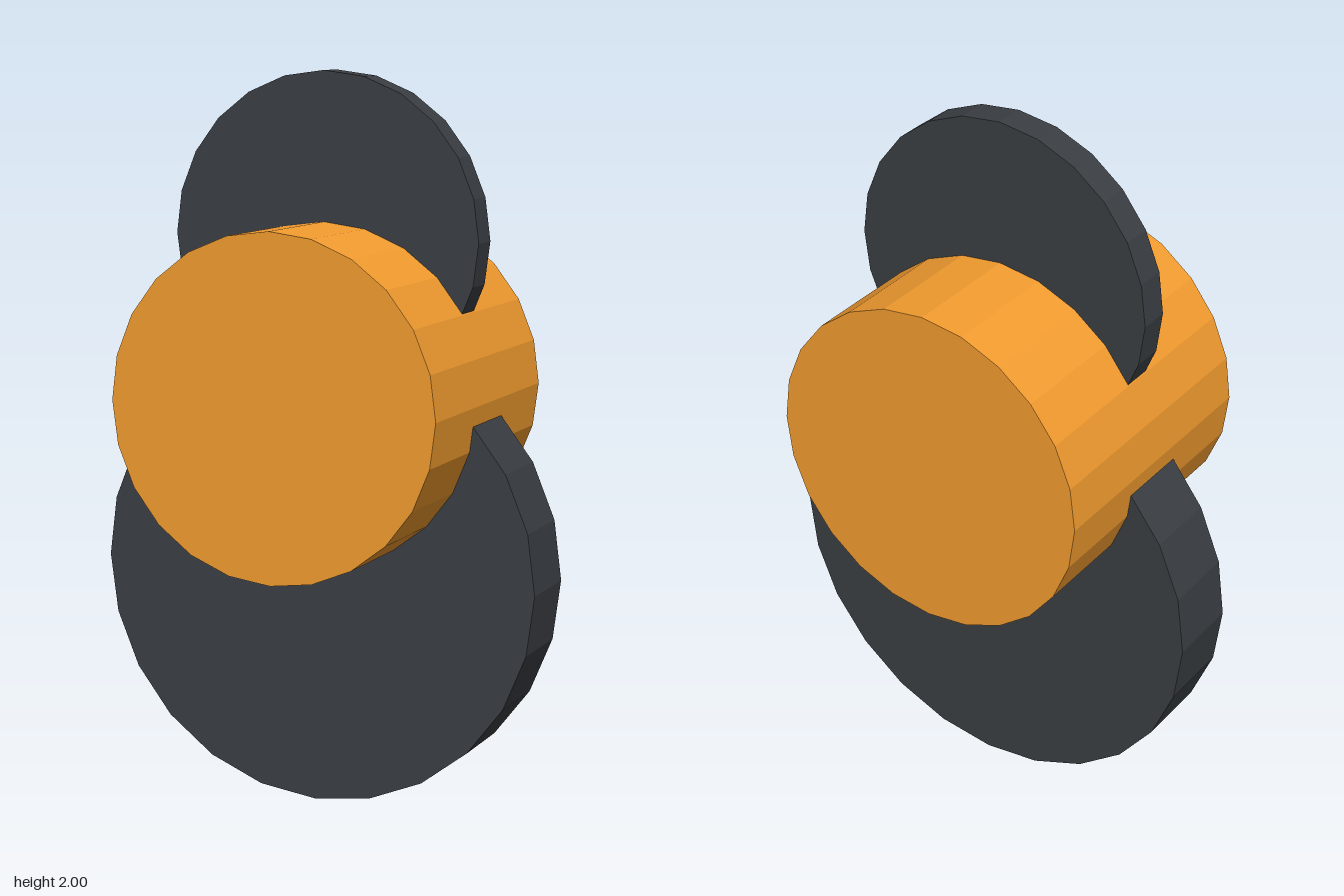
import * as THREE from 'three';

export function createModel() {
  const group = new THREE.Group();
  const orange = new THREE.MeshStandardMaterial({ color: 0xf39c2f, flatShading: true });
  const dark = new THREE.MeshStandardMaterial({ color: 0x3a3e43, flatShading: true });

  // A 24-sided disc whose axis runs front to back
  function addDisc(name, radius, depth, y, material) {
    const geometry = new THREE.CylinderGeometry(radius, radius, depth, 24).rotateX(Math.PI / 2);
    const mesh = new THREE.Mesh(geometry, material);
    mesh.name = name;
    mesh.position.y = y;
    group.add(mesh);
  }

  addDisc('lowerDisc', 0.637, 0.21, 0.64, dark);
  addDisc('centralDrum', 0.466, 0.764, 1.131, orange);
  addDisc('upperDisc', 0.446, 0.085, 1.554, dark);

  return group;
}
